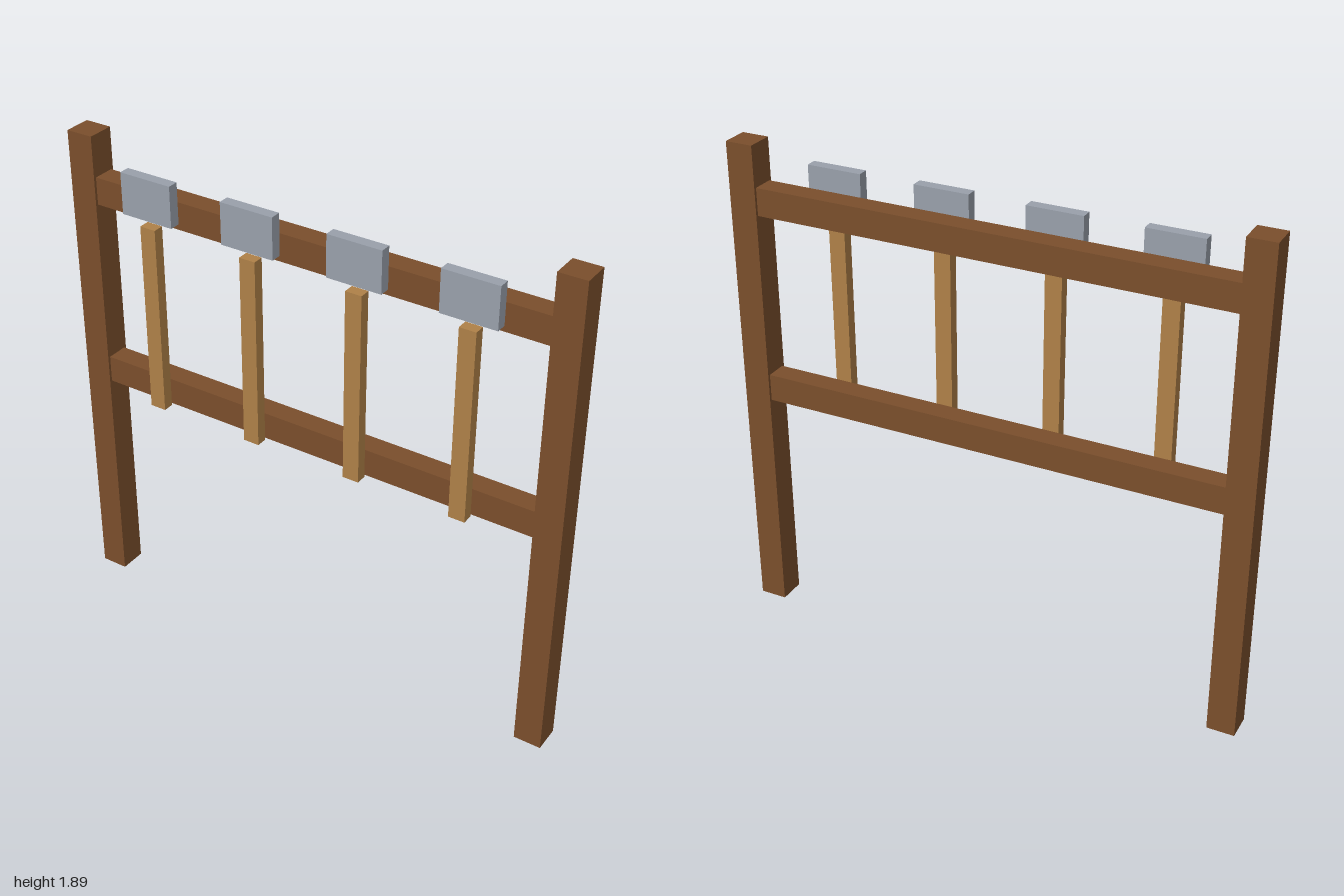
import * as THREE from 'three';

export function createModel() {
  const group = new THREE.Group();
  const darkWood = new THREE.MeshStandardMaterial({ color: 0x7b4f2c });
  darkWood.name = 'darkWood';
  const lightWood = new THREE.MeshStandardMaterial({ color: 0xb08148 });
  lightWood.name = 'lightWood';
  const steel = new THREE.MeshStandardMaterial({ color: 0x9aa1ac });
  steel.name = 'steel';

  // Box placed by its centre x, bottom y and centre z
  function addBox(name, material, [w, h, d], [x, bottom, z]) {
    const mesh = new THREE.Mesh(new THREE.BoxGeometry(w, h, d), material);
    mesh.name = name;
    mesh.position.set(x, bottom + h / 2, z);
    group.add(mesh);
  }

  const frameZ = -0.021;
  const toolZ = 0.053;

  // Upright posts
  addBox('rightPost', darkWood, [0.105, 1.895, 0.105], [-0.9475, 0, frameZ]);
  addBox('leftPost', darkWood, [0.105, 1.895, 0.105], [0.9475, 0, frameZ]);

  // Cross rails between the posts
  addBox('lowerRail', darkWood, [1.79, 0.105, 0.084], [0, 0.895, frameZ]);
  addBox('upperRail', darkWood, [1.79, 0.105, 0.084], [0, 1.632, frameZ]);

  // Row of hanging hammers: handle and head
  for (let i = 0; i < 4; i++) {
    const x = (i - 1.5) * 0.421;
    addBox('hammerHandle', lightWood, [0.063, 0.737, 0.042], [x, 0.895, toolZ]);
    addBox('hammerHead', steel, [0.21, 0.158, 0.042], [x, 1.66, toolZ]);
  }

  return group;
}
